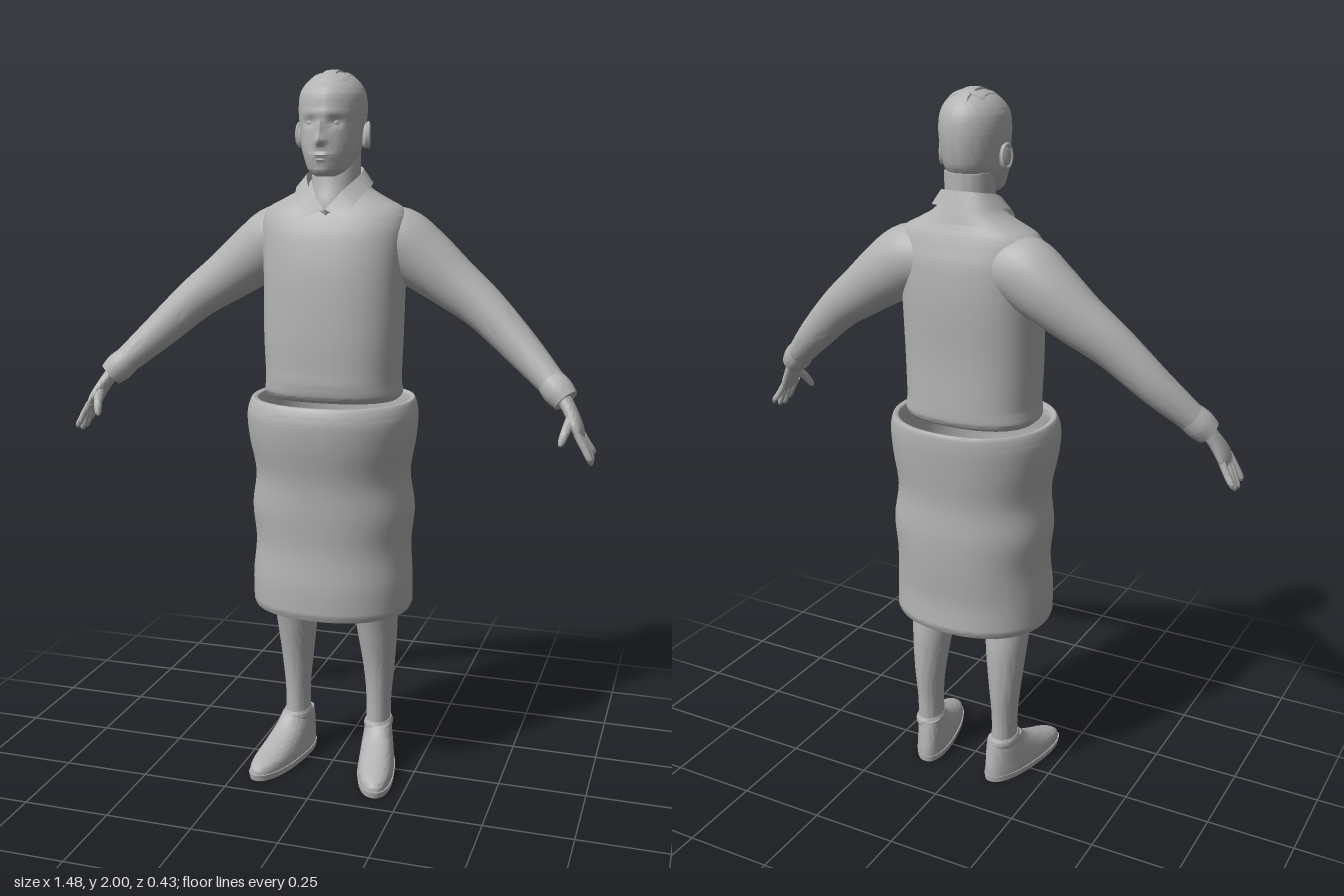
import * as THREE from 'three';
import { toCreasedNormals } from 'three/addons/utils/BufferGeometryUtils.js';

const material = new THREE.MeshStandardMaterial({ color: 0xb2b2b2, side: THREE.DoubleSide });
material.name = 'plain grey';

// Smooth interpolation through a list of number rows
function smoothRows(rows, steps) {
  const out = [];
  const n = rows.length;
  for (let i = 0; i < n - 1; i++) {
    const a = rows[Math.max(0, i - 1)], b = rows[i], c = rows[i + 1], d = rows[Math.min(n - 1, i + 2)];
    for (let s = 0; s < steps; s++) {
      const t = s / steps;
      out.push(b.map((v, k) => v + 0.5 * t * (c[k] - a[k]
        + t * (2 * a[k] - 5 * v + 4 * c[k] - d[k] + t * (3 * (v - c[k]) + d[k] - a[k])))));
    }
  }
  out.push(rows[n - 1]);
  return out;
}

// Skin a list of rings (arrays of Vector3), closed round and optionally capped
function skin(rings, closed = true, caps = true, deform = null, crease = 0.8) {
  const m = rings[0].length, pos = [], idx = [];
  rings.forEach(r => r.forEach(p => { if (deform) deform(p); pos.push(p.x, p.y, p.z); }));
  for (let r = 0; r < rings.length - 1; r++) {
    for (let i = 0; i < (closed ? m : m - 1); i++) {
      const a = r * m + i, b = r * m + (i + 1) % m;
      idx.push(a, a + m, b, b, a + m, b + m);
    }
  }
  if (caps) {
    [0, rings.length - 1].forEach((r, end) => {
      const c = new THREE.Vector3();
      rings[r].forEach(p => c.addScaledVector(p, 1 / m));
      const k = pos.length / 3;
      pos.push(c.x, c.y, c.z);
      for (let i = 0; i < m; i++) {
        const a = r * m + i, b = r * m + (i + 1) % m;
        if (end) idx.push(k, b, a); else idx.push(k, a, b);
      }
    });
  }
  const g = new THREE.BufferGeometry();
  g.setAttribute('position', new THREE.Float32BufferAttribute(pos, 3));
  g.setIndex(idx);
  return toCreasedNormals(g, crease);
}

// Horizontal sections: [y, half width, front z, back z, centre x]
function loft(rows, { seg = 40, steps = 5, power = 2, caps = true, deform = null } = {}) {
  const bend = v => Math.sign(v) * Math.pow(Math.abs(v), 2 / power);
  const rings = smoothRows(rows, steps).map(([y, rx, zf, zb, cx = 0]) =>
    Array.from({ length: seg }, (_, i) => {
      const a = i / seg * Math.PI * 2;
      return new THREE.Vector3(cx + rx * bend(Math.cos(a)), y, (zf + zb) / 2 + (zf - zb) / 2 * bend(Math.sin(a)));
    }));
  return skin(rings, true, caps, deform);
}

// Sections along a path: [x, y, z, thickness radius, depth radius]
function limb(rows, seg = 24, steps = 5) {
  const path = smoothRows(rows, steps);
  const at = i => new THREE.Vector3(...path[i].slice(0, 3));
  const rings = path.map((p, i) => {
    const d = at(Math.min(i + 1, path.length - 1)).sub(at(Math.max(i - 1, 0))).normalize();
    const v = new THREE.Vector3(0, 0, 1).addScaledVector(d, -d.z).normalize();
    const u = d.clone().cross(v);
    return Array.from({ length: seg }, (_, k) => {
      const a = k / seg * Math.PI * 2;
      return at(i).addScaledVector(u, p[3] * Math.cos(a)).addScaledVector(v, p[4] * Math.sin(a));
    });
  });
  return skin(rings);
}

// Mirror a non-indexed geometry across x, keeping faces outward
function mirrored(geometry) {
  const g = geometry.index ? geometry.toNonIndexed() : geometry.clone();
  for (const name of ['position', 'normal']) {
    const a = g.attributes[name];
    for (let i = 0; i < a.count; i += 3) {
      const t = [0, 2, 1].map(k => [-a.getX(i + k), a.getY(i + k), a.getZ(i + k)]);
      t.forEach((p, k) => a.setXYZ(i + k, ...p));
    }
  }
  return g;
}

export function createModel() {
  const model = new THREE.Group();
  const add = (name, g) => {
    const mesh = new THREE.Mesh(g, material);
    mesh.name = name;
    model.add(mesh);
  };
  const pair = (name, g) => {
    add('left ' + name, g);
    add('right ' + name, mirrored(g));
  };

  // Head, with the face shaped by soft bumps: [x, y, spread x, spread y, push]
  const bumps = [[0, 1.815, 0.013, 0.013, 0.022], [0, 1.845, 0.009, 0.022, 0.011], [0, 1.886, 0.05, 0.008, 0.004],
    [0.035, 1.862, 0.017, 0.011, -0.01], [-0.035, 1.862, 0.017, 0.011, -0.01], [0, 1.778, 0.022, 0.005, 0.006],
    [0, 1.765, 0.02, 0.005, 0.005], [0, 1.738, 0.02, 0.01, 0.004]];
  add('head', loft([[1.722, 0.025, 0.1, 0.04], [1.738, 0.05, 0.11, 0], [1.77, 0.068, 0.118, -0.065],
    [1.8, 0.08, 0.117, -0.097], [1.85, 0.087, 0.112, -0.11], [1.9, 0.091, 0.11, -0.112],
    [1.94, 0.086, 0.1, -0.104], [1.97, 0.067, 0.07, -0.083], [1.988, 0.04, 0.036, -0.053], [1.994, 0.008, 0, -0.018]],
  { seg: 64, steps: 7, deform: p => {
    if (p.z > 0.04) {
      const push = bumps.reduce((s, [x, y, sx, sy, h]) =>
        s + h * Math.exp(-(((p.x - x) / sx) ** 2) - ((p.y - y) / sy) ** 2), 0);
      p.z += push;
    }
  } }));
  pair('eye', new THREE.SphereGeometry(0.013, 16, 10).translate(0.034, 1.861, 0.083));
  pair('ear', new THREE.SphereGeometry(1, 16, 12).scale(0.012, 0.034, 0.02).rotateY(0.3).rotateX(-0.15).translate(0.09, 1.828, -0.006));
  pair('ear rim', new THREE.TorusGeometry(0.025, 0.005, 8, 24).scale(0.7, 1.2, 1).rotateY(Math.PI / 2 + 0.3).translate(0.096, 1.83, -0.008));

  // Hair: raised patches following the crown, [x0, x1, z0, z1]
  [[-0.022, 0.022, -0.09, 0.075], [-0.065, 0.065, 0.035, 0.075], [-0.06, 0.06, -0.06, -0.04],
    [0.035, 0.05, -0.06, 0.05], [-0.05, -0.035, -0.06, 0.05]].forEach(([x0, x1, z0, z1]) => {
    const n = 10, rows = [];
    for (let r = 0; r <= n; r++) {
      const row = [];
      for (let c = 0; c <= n; c++) {
        const x = x0 + (x1 - x0) * c / n, z = z0 + (z1 - z0) * r / n;
        const edge = r === 0 || c === 0 || r === n || c === n;
        const y = 1.885 + 0.115 * Math.sqrt(Math.max(0, 1 - (x / 0.1) ** 2 - ((z + 0.01) / 0.122) ** 2));
        row.push(new THREE.Vector3(x, y - (edge ? 0.012 : 0), z));
      }
      rows.push(row);
    }
    add('hair patch', skin(rows, false, false));
  });

  add('neck', loft([[1.6, 0.06, 0.07, -0.09], [1.65, 0.066, 0.064, -0.098], [1.7, 0.066, 0.047, -0.1],
    [1.79, 0.066, 0.03, -0.1]]));

  // Folded shirt collar, split at the front into two points
  const curve = p => new THREE.CatmullRomCurve3(p.map(q => new THREE.Vector3(...q))).getPoints(24);
  const collarTop = curve([[0, 1.635, 0.08], [0.045, 1.685, 0.064], [0.076, 1.728, -0.01], [0.058, 1.744, -0.08], [0, 1.748, -0.104]]);
  const collarEdge = curve([[0.064, 1.612, 0.1], [0.086, 1.66, 0.062], [0.105, 1.695, -0.01], [0.08, 1.705, -0.09], [0, 1.71, -0.12]]);
  const collarInner = collarTop.map(p => new THREE.Vector3(p.x * 0.9, p.y - 0.03, p.z * 0.9));
  pair('collar', skin([collarEdge, collarTop, collarInner].map(r => r.slice().reverse()), false, false));

  // Sweater body
  add('sweater', loft([[1.115, 0.184, 0.12, -0.14], [1.13, 0.194, 0.134, -0.15], [1.165, 0.19, 0.14, -0.151],
    [1.2, 0.191, 0.139, -0.15], [1.3, 0.195, 0.137, -0.148], [1.45, 0.198, 0.125, -0.153], [1.55, 0.205, 0.105, -0.148],
    [1.6, 0.206, 0.086, -0.136], [1.635, 0.19, 0.066, -0.125], [1.66, 0.145, 0.05, -0.115],
    [1.685, 0.1, 0.034, -0.108], [1.71, 0.072, 0.015, -0.1]], { seg: 56, power: 2.4 }));

  // Sleeves, cuffs and hands
  pair('sleeve', limb([[0.11, 1.55, -0.045, 0.085, 0.085], [0.17, 1.545, -0.05, 0.095, 0.09], [0.24, 1.5, -0.053, 0.088, 0.084],
    [0.33, 1.435, -0.046, 0.073, 0.068], [0.42, 1.37, -0.03, 0.061, 0.055], [0.53, 1.27, 0, 0.05, 0.046],
    [0.62, 1.187, 0.04, 0.038, 0.037]], 32));
  pair('cuff', limb([[0.612, 1.194, 0.037, 0.039, 0.038], [0.635, 1.172, 0.049, 0.042, 0.041], [0.658, 1.15, 0.06, 0.036, 0.036]]));
  pair('palm', limb([[0.645, 1.165, 0.056, 0.02, 0.026], [0.672, 1.125, 0.073, 0.018, 0.031],
    [0.693, 1.085, 0.088, 0.016, 0.041], [0.704, 1.058, 0.093, 0.01, 0.037]]));
  [[1.008, 0.05], [0.993, 0.077], [0.99, 0.103], [1.002, 0.13]].forEach(([tipY, tipZ], i) => {
    const z = 0.061 + i * 0.021;
    pair('finger', limb([[0.697, 1.075, z, 0.01, 0.01], [0.717, 1.04, (z + tipZ) / 2, 0.0095, 0.0095],
      [0.732, tipY + 0.01, tipZ, 0.008, 0.008], [0.734, tipY, tipZ, 0.003, 0.003]], 12, 4));
  });
  pair('thumb', limb([[0.678, 1.112, 0.095, 0.014, 0.013], [0.668, 1.082, 0.128, 0.012, 0.012],
    [0.66, 1.055, 0.146, 0.009, 0.009], [0.657, 1.046, 0.151, 0.003, 0.003]], 12, 4));

  // Open tube skirt with a rolled rim and an inner wall
  add('skirt', loft([[0.52, 0.23, 0.19, -0.194], [0.6, 0.23, 0.19, -0.19], [0.7, 0.223, 0.182, -0.198],
    [0.8, 0.232, 0.186, -0.201], [0.9, 0.219, 0.19, -0.196], [1, 0.235, 0.209, -0.205], [1.07, 0.24, 0.215, -0.211],
    [1.11, 0.23, 0.204, -0.21], [1.114, 0.222, 0.193, -0.203], [1.1, 0.212, 0.178, -0.192], [1.0, 0.215, 0.185, -0.186],
    [0.8, 0.21, 0.172, -0.184], [0.53, 0.22, 0.18, -0.184], [0.52, 0.23, 0.19, -0.194]],
  { seg: 64, power: 2.2, caps: false }));

  // Legs with a cuffed hem below the skirt
  pair('leg', loft([[0.1, 0.036, 0, -0.1, 0.125], [0.2, 0.036, -0.004, -0.1, 0.126], [0.3, 0.045, 0.004, -0.107, 0.126],
    [0.42, 0.058, 0.03, -0.107, 0.123], [0.5, 0.064, 0.05, -0.098, 0.122], [0.57, 0.066, 0.055, -0.094, 0.122]]));
  pair('leg hem', loft([[0.503, 0.066, 0.06, -0.1, 0.122], [0.515, 0.072, 0.078, -0.104, 0.122],
    [0.56, 0.073, 0.08, -0.105, 0.122]], { caps: false }));
  pair('sock band', loft([[0.11, 0.039, 0.004, -0.105, 0.126], [0.125, 0.042, 0.006, -0.108, 0.126], [0.138, 0.037, 0, -0.102, 0.126]]));

  // Shoes, toes turned outward
  const toeOut = p => { p.x += 0.2 * (p.z + 0.05); };
  pair('shoe', loft([[0.015, 0.053, 0.192, -0.119, 0.126], [0.035, 0.053, 0.187, -0.119, 0.126], [0.05, 0.051, 0.163, -0.118, 0.126],
    [0.07, 0.048, 0.108, -0.115, 0.126], [0.1, 0.043, 0.04, -0.111, 0.126], [0.13, 0.038, 0.004, -0.106, 0.126]],
  { power: 2.3, deform: toeOut }));
  pair('sole', loft([[0, 0.054, 0.192, -0.119, 0.126], [0.018, 0.056, 0.196, -0.121, 0.126]],
    { power: 2.3, steps: 1, deform: toeOut }));

  return model;
}
